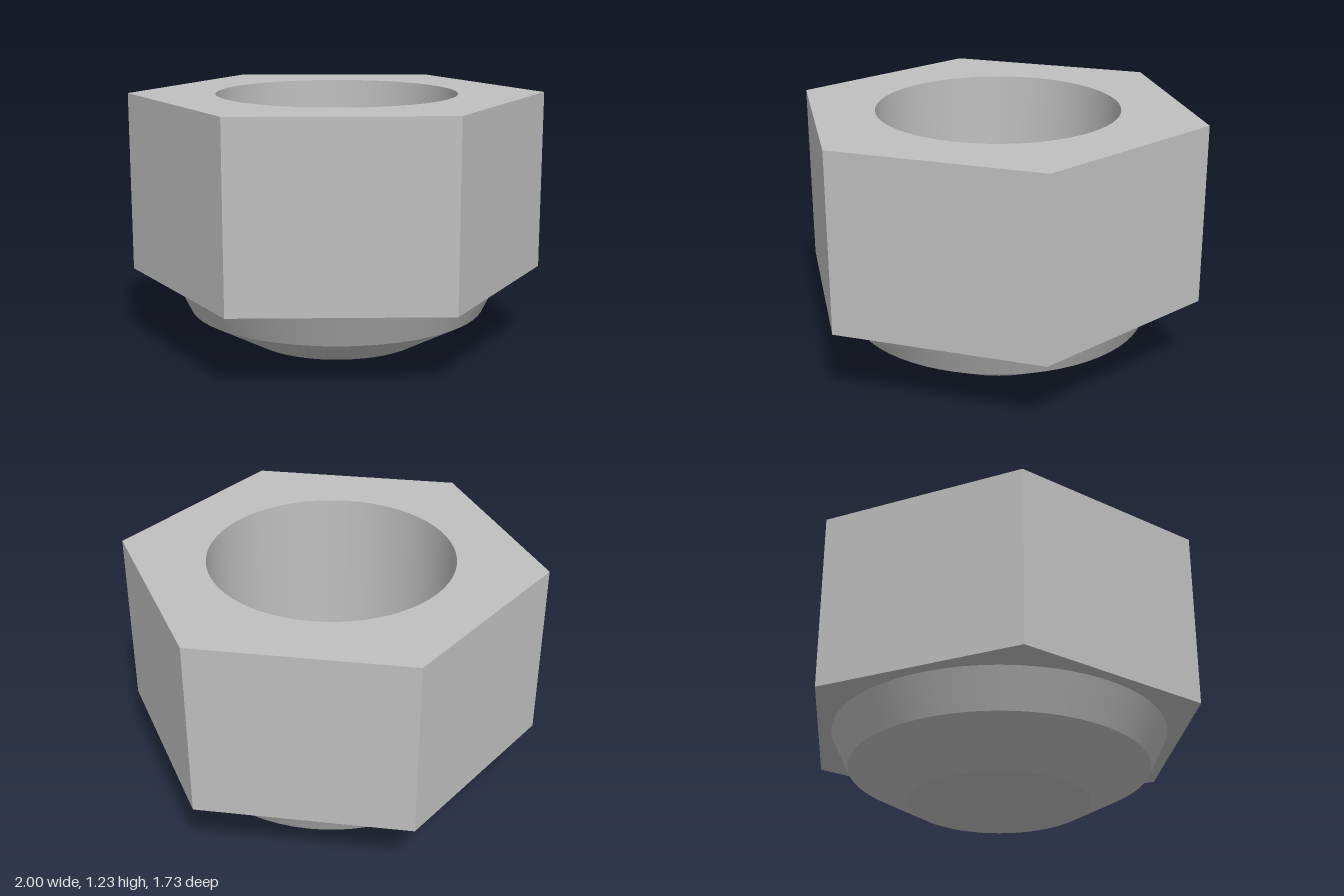
import * as THREE from 'three';

const SEGMENTS = 64;
const BASE_Y = 0.365, TOP_Y = 1.23, BORE_R = 0.58;

export function createModel() {
  const group = new THREE.Group();
  const steel = new THREE.MeshStandardMaterial({ color: 0xc0c0c0 });
  steel.name = 'steelGrey';

  const add = (name, geometry) => {
    const mesh = new THREE.Mesh(geometry, steel);
    mesh.name = name;
    group.add(mesh);
  };
  const lathe = (points, segments = SEGMENTS, start = 0) =>
    new THREE.LatheGeometry(points.map(([r, y]) => new THREE.Vector2(r, y)), segments, start);

  // Hexagonal body: underside and six flat sides, corners on the x axis
  const body = lathe([[0, BASE_Y], [1, BASE_Y], [1, TOP_Y]], 6, Math.PI / 2).toNonIndexed();
  body.computeVertexNormals();
  add('hexBody', body);

  // Top face with the round opening
  const hexagon = new THREE.Shape();
  for (let i = 0; i < 6; i++) {
    const a = (i * Math.PI) / 3;
    if (i === 0) hexagon.moveTo(Math.cos(a), Math.sin(a));
    else hexagon.lineTo(Math.cos(a), Math.sin(a));
  }
  hexagon.closePath();
  hexagon.holes.push(new THREE.Path().absarc(0, 0, BORE_R, 0, Math.PI * 2, true));
  const top = new THREE.ShapeGeometry(hexagon, SEGMENTS / 2);
  top.rotateX(-Math.PI / 2).translate(0, TOP_Y, 0);
  add('topFace', top);

  // Blind bore, facing inward, and its floor
  add('boreWall', lathe([[BORE_R, TOP_Y], [BORE_R, BASE_Y + 0.005]]));
  add('boreFloor', lathe([[BORE_R, BASE_Y + 0.005], [0, BASE_Y + 0.005]]));

  // Domed cap below, one band per profile step so the rims stay sharp
  const profile = [[0, 0], [0.43, 0.03], [0.72, 0.19], [0.805, BASE_Y]];
  const names = ['capTip', 'capLowerCone', 'capUpperCone'];
  names.forEach((name, i) => add(name, lathe([profile[i], profile[i + 1]])));

  return group;
}
